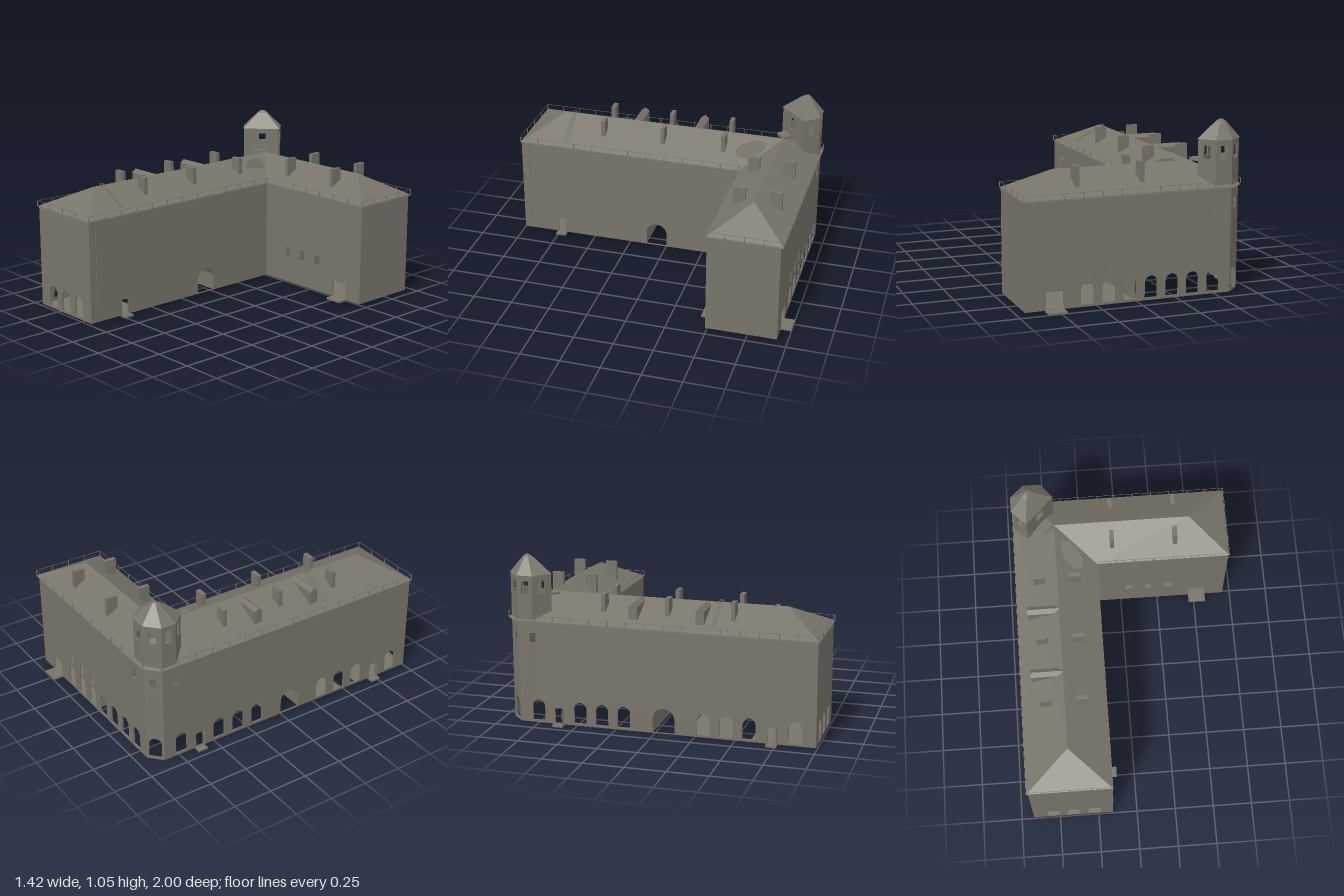
import * as THREE from 'three';

const stone = new THREE.MeshStandardMaterial({ color: 0x78746a, side: THREE.DoubleSide, flatShading: true });
stone.name = 'weathered stone';

export function createModel() {
  const model = new THREE.Group();
  model.name = 'lShapedBarracks';

  const add = (geo, name, parent = model) => {
    const m = new THREE.Mesh(geo, stone);
    m.name = name;
    parent.add(m);
    return m;
  };
  // Box given by its minimum and maximum corners
  const box = (name, x0, x1, y0, y1, z0, z1) => {
    const m = add(new THREE.BoxGeometry(x1 - x0, y1 - y0, z1 - z0), name);
    m.position.set((x0 + x1) / 2, (y0 + y1) / 2, (z0 + z1) / 2);
    return m;
  };
  // Thin bar between two points
  const bar = (name, a, b, t) => {
    const p = new THREE.Vector3(...a), q = new THREE.Vector3(...b);
    const m = add(new THREE.BoxGeometry(t, t, p.distanceTo(q)), name);
    m.position.copy(p).add(q).multiplyScalar(0.5);
    m.lookAt(q);
    return m;
  };

  // Wall from p to q with openings; c is the world coordinate along the wall's main axis
  const wall = (name, p, q, y0, y1, openings = []) => {
    const dx = q[0] - p[0], dz = q[1] - p[1], len = Math.hypot(dx, dz);
    const axis = Math.abs(dx) > Math.abs(dz) ? 0 : 1;
    const s = new THREE.Shape([[0, y0], [len, y0], [len, y1], [0, y1]].map(v => new THREE.Vector2(...v)));
    for (const { c, w, b, t, arched } of openings) {
      const u = Math.abs(c - p[axis]) * len / Math.abs(axis ? dz : dx), r = w / 2;
      const h = new THREE.Path();
      h.moveTo(u - r, b);
      h.lineTo(u + r, b);
      if (arched) h.lineTo(u + r, t - r).absarc(u, t - r, r, 0, Math.PI, false);
      else h.lineTo(u + r, t).lineTo(u - r, t);
      h.closePath();
      s.holes.push(h);
    }
    const g = new THREE.ExtrudeGeometry(s, { depth: 0.01, bevelEnabled: false, curveSegments: 10 });
    g.translate(0, 0, -0.01);
    const m = add(g, name);
    m.position.set(p[0], 0, p[1]);
    m.rotation.y = Math.atan2(-dz, dx);
  };
  const arch = c => ({ c, w: 0.08, b: 0.025, t: 0.157, arched: true });
  const opening = (c, w, b, t) => ({ c, w, b, t });
  const smallWindow = c => opening(c, 0.042, 0.185, 0.252);
  const highWindow = c => opening(c, 0.04, 0.52, 0.58);
  const door = c => opening(c, 0.05, 0.015, 0.11);
  const gate = { c: 0.062, w: 0.136, b: 0.013, t: 0.168, arched: true };
  const cartDoor = opening(0.52, 0.108, 0.014, 0.118);

  // Outer walls
  const W = [[-0.67, 0.995], [-0.155, 0.995], [-0.155, -0.49], [0.7, -0.49], [0.7, -0.935], [-0.59, -0.935], [-0.67, -0.86]];
  const windowsX = [0.055, 0.187, 0.32];
  const holes = [
    [-0.543, -0.41, -0.275].map(arch),
    [gate, door(0.73)],
    [...windowsX.map(smallWindow), cartDoor],
    [],
    [...windowsX.map(smallWindow), cartDoor, ...[0.32, 0.187, 0.055, -0.078, -0.211, -0.344, -0.477].map(arch), highWindow(-0.477)],
    [arch(-0.63), highWindow(-0.63)],
    [...[-0.74, -0.47, -0.33, -0.19, 0.31, 0.45, 0.59, 0.87].map(arch), gate, door(-0.61), door(0.73), highWindow(-0.77)],
  ];
  const names = ['frontWall', 'courtWall', 'wingCourtWall', 'wingEndWall', 'backWall', 'cornerWall', 'outerWall'];
  W.forEach((p, i) => wall(names[i], p, W[(i + 1) % W.length], 0.01, 0.657, holes[i]));

  // Gate passage vault, partitions and ground floors
  const vault = new THREE.CylinderGeometry(0.068, 0.068, 0.5, 20, 1, true, 0, Math.PI);
  vault.rotateZ(Math.PI / 2);
  const v = add(vault, 'passageVault');
  v.position.set(-0.4125, 0.1, 0.062);
  if (new THREE.Box3().setFromObject(v).max.y < 0.15) v.rotation.x = Math.PI;
  for (const s of [-1, 1]) {
    box('passageSide', -0.66, -0.16, 0.012, 0.1, 0.062 + s * 0.072 - 0.003, 0.062 + s * 0.072 + 0.003);
    box('partition', -0.66, -0.165, 0.012, 0.6, 0.062 + s * 0.13 - 0.003, 0.062 + s * 0.13 + 0.003);
  }
  box('wingPartition', 0.015, 0.021, 0.012, 0.6, -0.92, -0.5);
  box('floor', -0.66, -0.165, 0.01, 0.016, 0.19, 0.48);
  box('floor', -0.66, -0.165, 0.01, 0.016, 0.6, 0.985);
  box('floor', 0.02, 0.69, 0.008, 0.014, -0.925, -0.5);
  box('windowPanel', 0.03, 0.08, 0.18, 0.26, -0.53, -0.525);
  box('windowPanel', 0.29, 0.35, 0.16, 0.28, -0.56, -0.555).rotation.x = 0.6;

  // Doorsteps and open door leaves
  box('doorstep', 0.465, 0.578, 0, 0.012, -1, -0.93);
  box('doorstep', 0.465, 0.578, 0, 0.012, -0.5, -0.435);
  box('doorstep', -0.155, -0.115, 0, 0.012, 0.695, 0.762);
  for (const z of [-0.61, 0.73]) {
    box('doorstep', -0.71, -0.66, 0, 0.012, z - 0.033, z + 0.033);
    box('doorLeaf', -0.69, -0.67, 0.012, 0.105, z + 0.025, z + 0.029);
  }

  // Roof faces lie on the plane through their first three points
  const roofFace = (name, pts, hole) => {
    const plane = new THREE.Plane().setFromCoplanarPoints(...pts.slice(0, 3).map(p => new THREE.Vector3(...p)));
    const s = new THREE.Shape(pts.map(p => new THREE.Vector2(p[0], -p[2])));
    if (hole) s.holes.push(new THREE.Path(hole.map(p => new THREE.Vector2(p[0], -p[1]))));
    const g = new THREE.ShapeGeometry(s), a = g.attributes.position, n = plane.normal;
    for (let i = 0; i < a.count; i++) {
      const x = a.getX(i), z = -a.getY(i);
      a.setXYZ(i, x, -(plane.constant + n.x * x + n.z * z) / n.y, z);
    }
    g.computeVertexNormals();
    add(g, name);
  };
  const E = [[-0.68, 1], [-0.15, 1], [-0.15, -0.485], [0.705, -0.485], [0.705, -0.95], [-0.6, -0.95], [-0.68, -0.87]]
    .map(([x, z]) => [x, 0.657, z]);
  const R1 = [-0.41, 0.79, 0.765], R2 = [-0.41, 0.79, -0.717], R3 = [0.457, 0.79, -0.717];
  const breach = [[-0.367, -0.62], [-0.314, -0.61], [-0.272, -0.574], [-0.24, -0.51], [-0.245, -0.452], [-0.288, -0.431], [-0.34, -0.468], [-0.377, -0.542]];
  roofFace('frontHip', [E[0], E[1], R1]);
  roofFace('courtSlope', [E[1], E[2], R2, R1], breach);
  roofFace('wingCourtSlope', [E[2], E[3], R3, R2]);
  roofFace('wingHip', [E[3], E[4], R3]);
  roofFace('backSlope', [E[4], E[5], R2, R3]);
  roofFace('cornerHip', [E[5], E[6], R2]);
  roofFace('outerSlope', [E[6], E[0], R1, R2]);
  roofFace('atticFloor', E.map(([x, y, z]) => [x, 0.65, z]));

  // Eave railing
  E.forEach((p, i) => {
    const q = E[(i + 1) % E.length], n = Math.max(1, Math.round(Math.hypot(q[0] - p[0], q[2] - p[2]) / 0.12));
    bar('eaveRail', [p[0], 0.69, p[2]], [q[0], 0.69, q[2]], 0.002);
    for (let k = 0; k < n; k++) {
      const x = p[0] + (q[0] - p[0]) * k / n, z = p[2] + (q[2] - p[2]) * k / n;
      box('eavePost', x - 0.002, x + 0.002, 0.655, 0.69, z - 0.002, z + 0.002);
    }
  });

  // Chimneys
  for (const z of [-0.35, 0.055, 0.46])
    for (const x of [-0.526, -0.3]) box('chimney', x - 0.035, x + 0.035, 0.69, 0.825, z - 0.013, z + 0.013);
  for (const x of [-0.047, 0.358])
    for (const z of [-0.83, -0.605]) box('chimney', x - 0.013, x + 0.013, 0.69, 0.825, z - 0.037, z + 0.037);

  // Gabled dormers
  for (const z of [-0.145, 0.27]) {
    const s = new THREE.Shape([[-0.027, 0.68], [0.027, 0.68], [0.027, 0.773], [0, 0.794], [-0.027, 0.773]].map(p => new THREE.Vector2(...p)));
    const m = add(new THREE.ExtrudeGeometry(s, { depth: 0.2, bevelEnabled: false }), 'dormer');
    m.rotation.y = Math.PI / 2;
    m.position.set(-0.61, 0, z);
  }

  // Roof ladders
  const ladder = (x0, x1, z) => {
    const at = t => [x0 + (x1 - x0) * t, 0.663 + 0.137 * t];
    for (const s of [-0.012, 0.012]) bar('ladderRail', [...at(0.2), z + s], [...at(1), z + s], 0.003);
    for (let k = 0; k <= 14; k++) {
      const r = at(0.2 + 0.8 * k / 14);
      bar('ladderRung', [...r, z - 0.012], [...r, z + 0.012], 0.003);
    }
  };
  ladder(-0.68, -0.405, 0.355);
  ladder(-0.15, -0.415, 0.7);

  // Drainpipe
  bar('drainpipe', [-0.152, 0.08, 0.945], [-0.152, 0.655, 0.945], 0.004);

  // Corner tower
  const T = [[-0.58, -0.675], [-0.41, -0.845], [-0.485, -0.935], [-0.59, -0.935], [-0.67, -0.86], [-0.67, -0.765]];
  T.forEach((p, i) => {
    const q = T[(i + 1) % 6], axis = Math.abs(q[0] - p[0]) > Math.abs(q[1] - p[1]) ? 0 : 1;
    wall('towerWall', p, q, 0.64, 0.937, [opening((p[axis] + q[axis]) / 2, i ? 0.045 : 0.06, 0.82, 0.9)]);
  });
  const landing = box('towerLanding', -0.5, -0.42, 0.785, 0.8, -0.74, -0.68);
  landing.rotation.y = Math.PI / 4;

  // Tower roof from shrinking rings
  const rings = [[1.04, 0.935], [0.26, 1.033], [0.12, 1.045], [0, 1.048]];
  const pos = [], idx = [];
  for (const [k, y] of rings) for (const [x, z] of T) pos.push(-0.562 + (x + 0.562) * k, y, -0.835 + (z + 0.835) * k);
  for (let r = 0; r < 3; r++)
    for (let i = 0; i < 6; i++) {
      const a = r * 6 + i, b = r * 6 + (i + 1) % 6;
      idx.push(a, b, b + 6, a, b + 6, a + 6);
    }
  const cap = new THREE.BufferGeometry();
  cap.setAttribute('position', new THREE.Float32BufferAttribute(pos, 3));
  cap.setIndex(idx);
  cap.computeVertexNormals();
  add(cap, 'towerRoof');

  return model;
}
